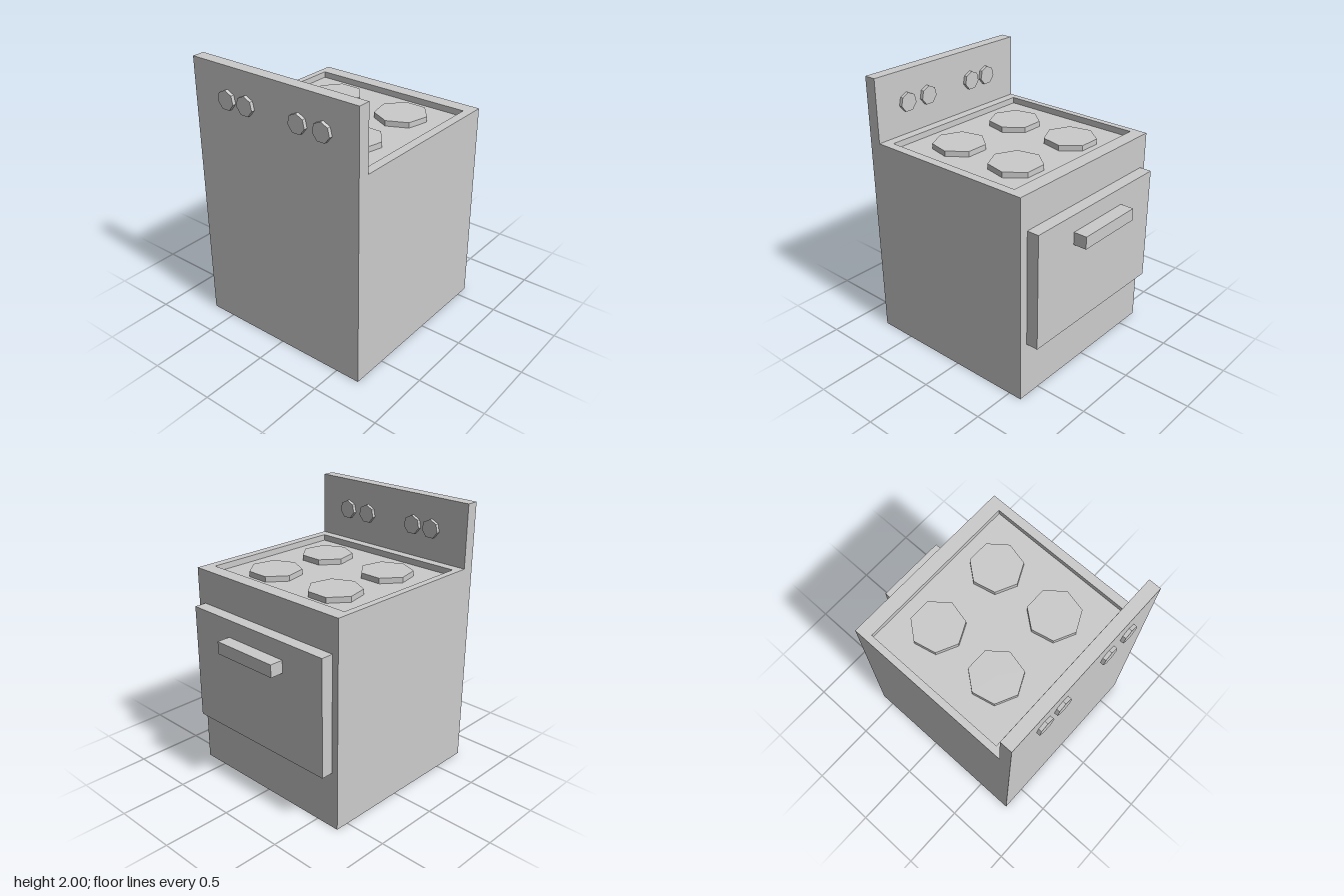
import * as THREE from 'three';

const material = new THREE.MeshStandardMaterial({ color: 0xcccccc, flatShading: true });

export function createModel() {
  const model = new THREE.Group();
  model.name = 'stove';

  const add = (name, geometry) => {
    const mesh = new THREE.Mesh(geometry, material);
    mesh.name = name;
    model.add(mesh);
    return mesh;
  };

  // Box given by its lower and upper limits on each axis
  const box = (name, [x0, x1], [y0, y1], [z0, z1]) =>
    add(name, new THREE.BoxGeometry(x1 - x0, y1 - y0, z1 - z0))
      .position.set((x0 + x1) / 2, (y0 + y1) / 2, (z0 + z1) / 2);

  // Rectangle corners on the x/z plane
  const rectangle = (x0, x1, z0, z1) => [
    new THREE.Vector2(x0, -z1), new THREE.Vector2(x1, -z1),
    new THREE.Vector2(x1, -z0), new THREE.Vector2(x0, -z0),
  ];

  const floorY = 1.49, topY = 1.535;
  const depth = [-0.685, 0.685];

  // Body up to the sunken cooktop floor
  box('body', [-0.77, 0.6], [0, floorY], depth);

  // Raised rim around the cooktop
  const rim = new THREE.Shape(rectangle(-0.77, 0.6, ...depth));
  rim.holes.push(new THREE.Path(rectangle(-0.61, 0.495, -0.635, 0.62).reverse()));
  const rimGeometry = new THREE.ExtrudeGeometry(rim, { depth: topY - floorY, bevelEnabled: false });
  rimGeometry.rotateX(-Math.PI / 2);
  add('cooktopRim', rimGeometry).position.y = floorY;

  // Upright control panel
  box('controlPanel', [-0.77, -0.68], [topY, 2], depth);

  // Seven-sided burners
  const burner = new THREE.CylinderGeometry(0.19, 0.19, 0.04, 7, 1, false, -Math.PI / 2);
  for (const x of [-0.3, 0.22]) {
    for (const z of [-0.293, 0.288]) add('burner', burner).position.set(x, floorY + 0.02, z);
  }

  // Seven-sided knobs passing through the panel
  const knob = new THREE.CylinderGeometry(0.07, 0.07, 0.14, 7, 1, false, Math.PI / 2);
  knob.rotateZ(Math.PI / 2);
  for (const z of [0.415, 0.22, -0.217, -0.383]) add('knob', knob).position.set(-0.725, 1.77, z);

  // Oven door and handle
  box('ovenDoor', [0.6, 0.69], [0.425, 1.283], [-0.635, 0.62]);
  box('doorHandle', [0.69, 0.79], [1.063, 1.155], [-0.275, 0.257]);

  return model;
}
